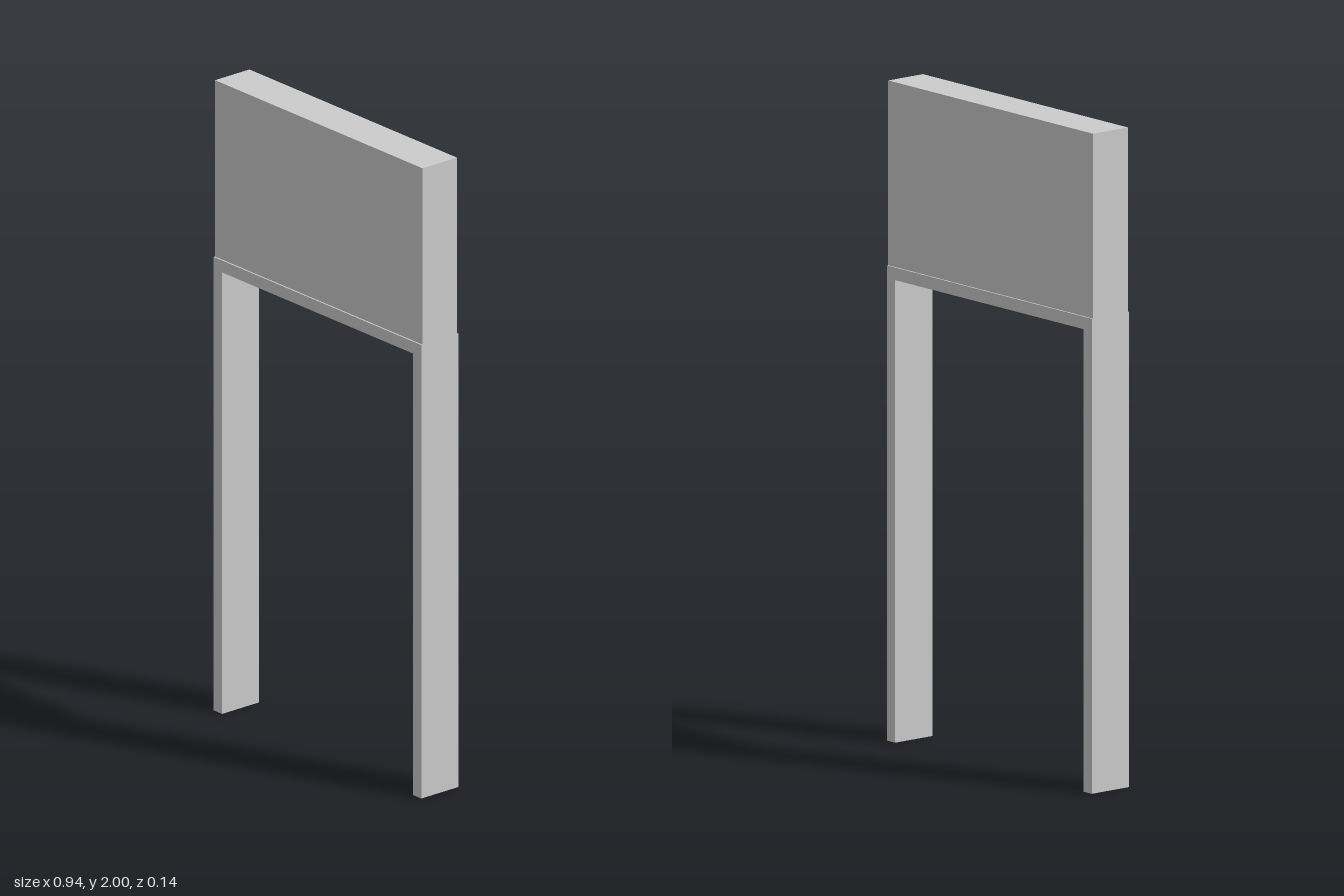
import * as THREE from 'three';

const HALF_W = 0.472;    // outer half width
const POST = 0.038;      // thickness of the frame
const FRAME_H = 1.44;    // top of the frame
const FRAME_D = 0.144;   // depth of the frame
const PANEL_D = 0.134;   // the panel is slightly thinner
const TOTAL_H = 2;

export function createModel() {
  const group = new THREE.Group();
  const material = new THREE.MeshStandardMaterial({ color: 0xcccccc, flatShading: true });

  // Door frame: two posts and a lintel in one piece
  const inner = HALF_W - POST;
  const lintelY = FRAME_H - POST;
  const outline = new THREE.Shape([
    [-HALF_W, 0], [-inner, 0], [-inner, lintelY], [inner, lintelY],
    [inner, 0], [HALF_W, 0], [HALF_W, FRAME_H], [-HALF_W, FRAME_H],
  ].map(([x, y]) => new THREE.Vector2(x, y)));
  const frameGeometry = new THREE.ExtrudeGeometry(outline, { depth: FRAME_D, bevelEnabled: false });
  frameGeometry.translate(0, 0, -FRAME_D / 2);
  const frame = new THREE.Mesh(frameGeometry, material);
  frame.name = 'doorFrame';
  group.add(frame);

  // Wall panel standing on the lintel
  const panelH = TOTAL_H - FRAME_H;
  const panel = new THREE.Mesh(new THREE.BoxGeometry(HALF_W * 2, panelH, PANEL_D), material);
  panel.name = 'upperWallPanel';
  panel.position.y = FRAME_H + panelH / 2;
  group.add(panel);

  return group;
}
